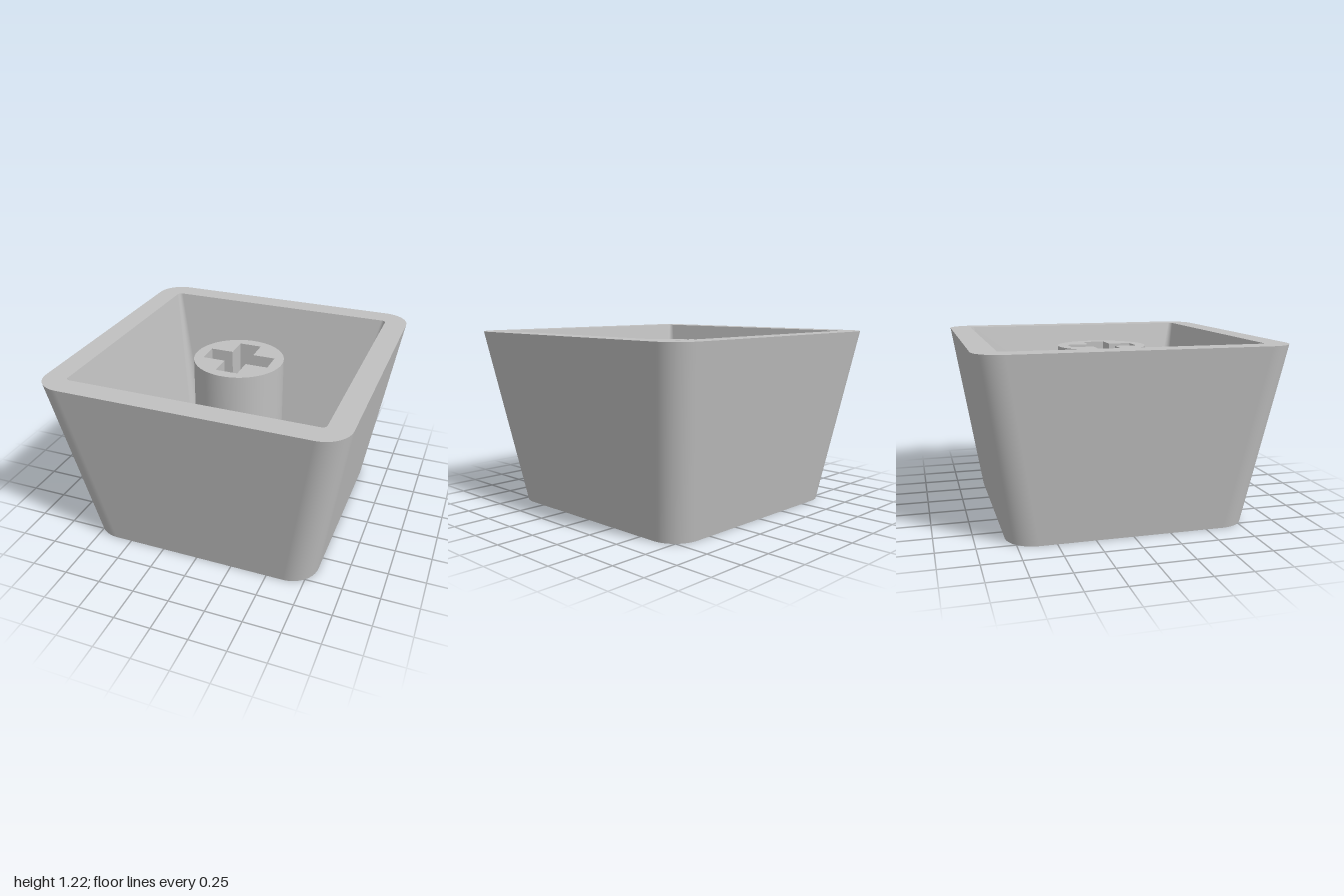
import * as THREE from 'three';
import { toCreasedNormals } from 'three/addons/utils/BufferGeometryUtils.js';

const HEIGHT = 1.22, FLOOR = 0.17, STEM_TOP = 1.145;
const SIGN_Z = 0.445, SIGN_R = 0.305, ISLAND_R = 0.22, BAR_HALF = 0.039;
const CORNER_STEPS = 16;

// Rounded square ring of {x, z, a}, where a is the outward angle; half === r gives a circle
function ring(half, r, cz = 0) {
  const pts = [];
  for (let q = 0; q < 4; q++) {
    const mid = (q + 0.5) * Math.PI / 2;
    const cx = Math.sign(Math.cos(mid)) * (half - r), cy = Math.sign(Math.sin(mid)) * (half - r);
    for (let i = 0; i <= CORNER_STEPS; i++) {
      const a = (q + i / CORNER_STEPS) * Math.PI / 2;
      pts.push({ x: cx + r * Math.cos(a), z: cy + r * Math.sin(a) + cz, a });
    }
  }
  return pts;
}

// Surface between two rings; dir is 1 facing out, -1 facing in, 0 facing up
function loft(lower, y0, upper, y1, dir, ny) {
  const pos = [], nor = [], idx = [], n = lower.length;
  for (let i = 0; i < n; i++) {
    for (const [p, y] of [[lower[i], y0], [upper[i], y1]]) {
      pos.push(p.x, y, p.z);
      const v = new THREE.Vector3(dir * Math.cos(p.a), ny, dir * Math.sin(p.a)).normalize();
      nor.push(v.x, v.y, v.z);
    }
    const b = 2 * i, t = b + 1, b2 = 2 * ((i + 1) % n), t2 = b2 + 1;
    if (dir < 0) idx.push(b, b2, t, t, b2, t2);
    else idx.push(b, t, b2, t, t2, b2);
  }
  const g = new THREE.BufferGeometry();
  g.setAttribute('position', new THREE.Float32BufferAttribute(pos, 3));
  g.setAttribute('normal', new THREE.Float32BufferAttribute(nor, 3));
  g.setIndex(idx);
  return g;
}

// Unique outline points of a ring in the plan (x, z)
function outline(pts) {
  const out = [];
  for (const p of pts) {
    const v = new THREE.Vector2(p.x, p.z);
    if (!out.length || (out[out.length - 1].distanceTo(v) > 1e-5 && out[0].distanceTo(v) > 1e-5)) out.push(v);
  }
  return out;
}

// Plan shape extruded downward from the height top
function slab(shape, top, depth) {
  const g = new THREE.ExtrudeGeometry(shape, { depth, bevelEnabled: false, curveSegments: 48 });
  g.rotateX(Math.PI / 2).translate(0, top, 0);
  return toCreasedNormals(g, 0.5);
}

export function createModel() {
  const model = new THREE.Group();
  model.name = 'keycap';
  const plastic = new THREE.MeshStandardMaterial({ color: 0xc0c0c0, side: THREE.DoubleSide });
  plastic.name = 'grey plastic';
  const add = (name, geometry) => {
    const mesh = new THREE.Mesh(geometry, plastic);
    mesh.name = name;
    model.add(mesh);
  };

  // Tapered shell
  const outerLow = ring(0.805, 0.19), outerHigh = ring(1, 0.18);
  const innerHigh = ring(0.845, 0.03), innerLow = ring(0.65, 0.08);
  for (const p of innerLow) if (p.z > 0.6) p.z += 0.015;
  add('outerWall', loft(outerLow, 0, outerHigh, HEIGHT, 1, -0.16));
  add('innerWall', loft(innerLow, FLOOR, innerHigh, HEIGHT, -1, 0.186));
  add('rim', loft(outerHigh, HEIGHT, innerHigh, HEIGHT, 0, 1));

  // Bottom face with the round cut
  const cut = ring(SIGN_R, SIGN_R, SIGN_Z);
  const bottom = new THREE.Shape(outline(outerLow));
  bottom.holes.push(new THREE.Path(outline(cut)));
  add('bottomFace', new THREE.ShapeGeometry(bottom).rotateX(Math.PI / 2));
  add('cutWall', loft(cut, 0, cut, FLOOR, -1, 0));

  // Inner floor; the front wall covers the end of the cut
  const floor = new THREE.Shape(outline(ring(0.77, 0.15)));
  const clipped = cut.map((p) => ({ x: p.x, z: Math.min(p.z, 0.645) }));
  floor.holes.push(new THREE.Path(outline(clipped)));
  add('innerFloor', slab(floor, FLOOR, 0.004));

  // Two half discs that leave a ring and a diagonal bar open
  const phi = Math.acos(BAR_HALF / ISLAND_R);
  ['frontHalfDisc', 'backHalfDisc'].forEach((name, i) => {
    const mid = Math.PI / 4 + i * Math.PI;
    const half = new THREE.Shape();
    half.absarc(0, SIGN_Z, ISLAND_R, mid - phi, mid + phi, false);
    add(name, slab(half, FLOOR, FLOOR));
  });

  // Round stem with a cross socket
  const stem = new THREE.Shape();
  stem.absarc(0, 0, 0.31, 0, Math.PI * 2, false);
  const L = 0.233, W = 0.077;
  const cross = [];
  for (let q = 0; q < 4; q++) {
    for (const [x, y] of [[L, -W], [L, W], [W, W]]) {
      cross.push(new THREE.Vector2(x, y).rotateAround(new THREE.Vector2(), q * Math.PI / 2));
    }
  }
  stem.holes.push(new THREE.Path(cross));
  add('stem', slab(stem, STEM_TOP, STEM_TOP - FLOOR));

  return model;
}
